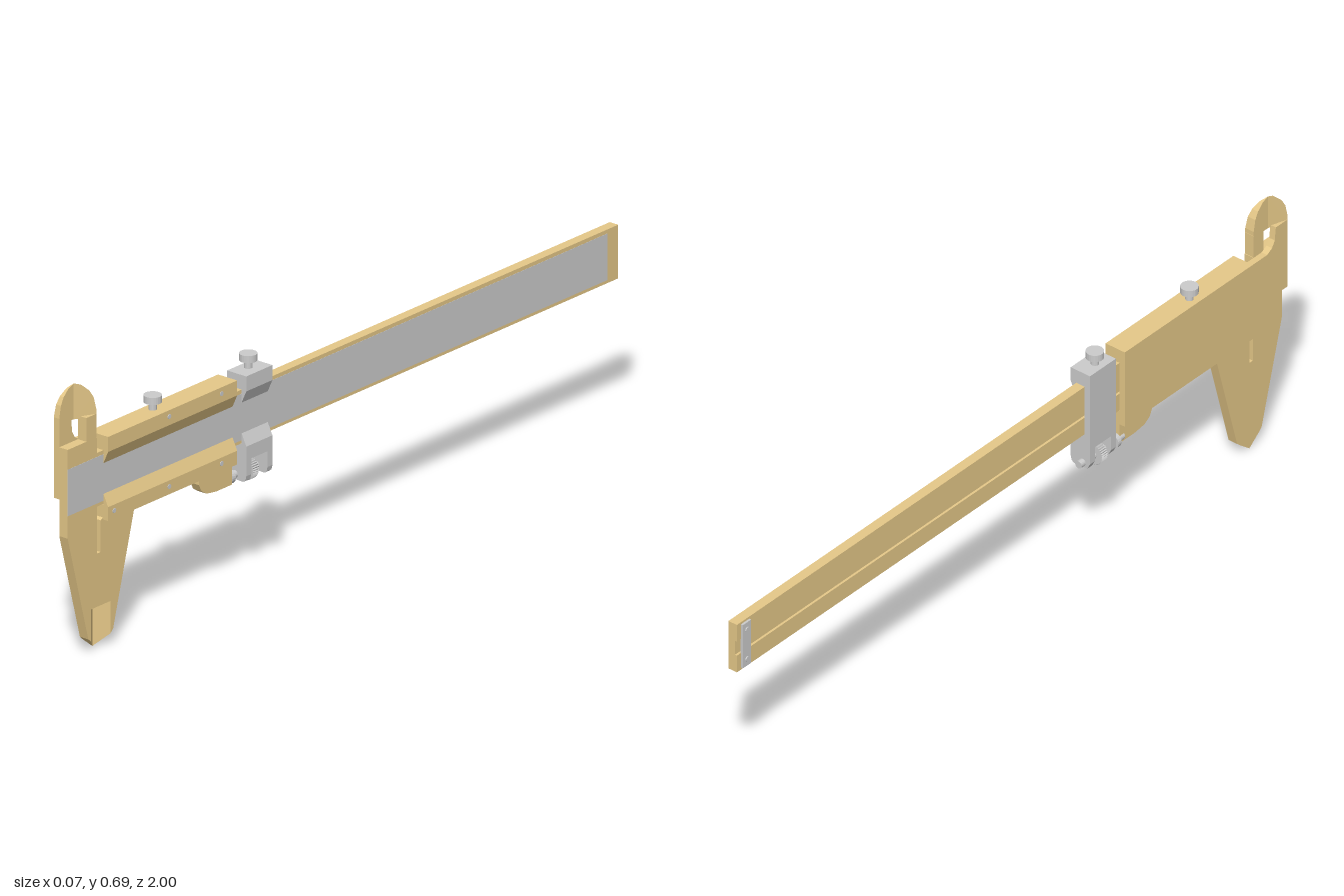
import * as THREE from 'three';
import { ConvexGeometry } from 'three/addons/geometries/ConvexGeometry.js';

const brass = new THREE.MeshStandardMaterial({ color: 0xe5c888, flatShading: true });
const steel = new THREE.MeshStandardMaterial({ color: 0xcccccc, flatShading: true });

// x planes: back of slider, back and front of beam, front of slider
const X0 = -0.028, X1 = -0.011, X2 = 0.015, X3 = 0.031;

const shapeOf = pts => new THREE.Shape(pts.map(p => new THREE.Vector2(...p)));

export function createModel() {
  const model = new THREE.Group();

  const add = (name, geometry, material = brass) => {
    const mesh = new THREE.Mesh(geometry, material);
    mesh.name = name;
    model.add(mesh);
    return mesh;
  };
  // Plate outlined in (z, y), filling xa..xb
  const plate = (name, pts, xa, xb, material) => {
    const g = new THREE.ExtrudeGeometry(shapeOf(pts), { depth: xb - xa, bevelEnabled: false });
    g.rotateY(-Math.PI / 2).translate(xb, 0, 0);
    return add(name, g, material);
  };
  // Bar with an (x, y) section, filling za..zb
  const bar = (name, pts, za, zb, material) => {
    const g = new THREE.ExtrudeGeometry(shapeOf(pts), { depth: zb - za, bevelEnabled: false });
    return add(name, g.translate(0, 0, za), material);
  };
  const box = (name, x0, x1, y0, y1, z0, z1, material) => {
    const g = new THREE.BoxGeometry(x1 - x0, y1 - y0, z1 - z0);
    return add(name, g.translate((x0 + x1) / 2, (y0 + y1) / 2, (z0 + z1) / 2), material);
  };
  const rod = (name, axis, r, length, x, y, z, sides = 24) => {
    const g = new THREE.CylinderGeometry(r, r, length, sides);
    if (axis === 'x') g.rotateZ(Math.PI / 2);
    if (axis === 'z') g.rotateX(Math.PI / 2);
    return add(name, g.translate(x, y, z), steel);
  };
  const hull = (name, pts) => add(name, new ConvexGeometry(pts.map(p => new THREE.Vector3(...p))));

  // Beam with a depth groove along its back, and the scale on its front
  bar('beam', [[X1, 0.364], [X2, 0.364], [X2, 0.5], [X1, 0.5],
    [X1, 0.452], [-0.005, 0.452], [-0.005, 0.412], [X1, 0.412]], -1, 1);
  box('scalePlate', X2 - 0.001, X2 + 0.0006, 0.372, 0.49, -0.96, 1, steel);
  box('endStop', -0.017, X1 + 0.001, 0.37, 0.494, -0.985, -0.955, steel);
  for (const y of [0.39, 0.474]) rod('endStopScrew', 'x', 0.007, 0.006, -0.017, y, -0.97, 12);

  // Fixed head with its lower jaw
  plate('fixedJaw', [[1, 0.54], [1, 0.315], [0.925, 0.037], [0.915, 0.028], [0.915, 0.11],
    [0.88, 0.11], [0.88, 0.245], [0.893, 0.245], [0.893, 0.54]], X1, X2);
  plate('fixedUpperStem', [[0.895, 0.53], [0.932, 0.53], [0.932, 0.6], [0.895, 0.6]], X1, X2);

  // Sliding lower jaw
  plate('slidingJaw', [[0.88, 0.325], [0.872, 0.33], [0.755, 0.33], [0.835, 0.037],
    [0.845, 0.028], [0.845, 0.11], [0.88, 0.11]], X1, X2);

  // Knife edges at the jaw tips, meeting in a V
  for (const s of [1, -1]) {
    const z = 0.88 + s * 0.035;
    hull('lowerKnifeEdge', [[X1, 0.11, z], [X2, 0.11, z], [X1, 0.11, 0.88],
      [X1, 0.028, z], [X2, 0.028, z], [X1, 0, 0.88]]);
  }
  // Rounded upper blades, thin at the centre line and thick outside
  const blade = (name, s, xOut) => {
    const pts = [[X1, 0.595, 0.949]];
    for (const [t, y] of [[0, 0.686], [0.018, 0.679], [0.036, 0.662], [0.046, 0.643], [0.052, 0.612], [0.052, 0.595]]) {
      const z = 0.948 + s * t;
      pts.push([X1, y, z], [X1 + (xOut - X1) * t / 0.052, y, z]);
    }
    hull(name, pts);
  };
  blade('slidingUpperBlade', 1, X0);
  blade('fixedUpperBlade', -1, X2);

  // Slider: channel round the beam, and a back plate reaching the upper jaw
  const channel = [[X0, 0.325], [X3, 0.325], [X3, 0.36], [0.0165, 0.39], [0.0165, 0.363], [X1, 0.363],
    [X1, 0.501], [0.0165, 0.501], [0.0165, 0.468], [X3, 0.5], [X3, 0.538], [X0, 0.538]];
  bar('slider', channel, 0.403, 0.872);
  plate('sliderBackPlate', [[0.86, 0.325], [0.885, 0.325], [0.895, 0.408], [1, 0.408], [1, 0.6],
    [0.957, 0.6], [0.953, 0.565], [0.943, 0.548], [0.925, 0.538], [0.86, 0.538]], X0, X1);
  for (const [y, zs] of [[0.345, [0.85, 0.65, 0.46]], [0.522, [0.65, 0.46]]])
    for (const z of zs) rod('rivet', 'x', 0.006, 0.003, X3, y, z, 12);
  plate('thumbRest', [[0.403, 0.33], [0.403, 0.27], [0.46, 0.27], [0.495, 0.275],
    [0.514, 0.287], [0.523, 0.305], [0.523, 0.33]], X1, X2);

  // Fine adjustment clamp with a fork for the wheel
  bar('clamp', channel, 0.275, 0.37, steel);
  const arm = [[X0, 0.33], [X0, 0.285], [-0.02, 0.27], [0.021, 0.268], [0.028, 0.273], [X3, 0.285], [X3, 0.33]];
  for (const z of [0.275, 0.352]) bar('clampArm', arm, z, z + 0.018, steel);

  // Adjusting screw, collar and toothed wheel
  rod('adjustingScrew', 'z', 0.01, 0.16, -0.005, 0.282, 0.34, 16);
  rod('screwCollar', 'z', 0.018, 0.012, -0.005, 0.282, 0.392, 20);
  const gear = [];
  for (let i = 0; i < 64; i++) {
    const r = i % 2 ? 0.0285 : 0.026, a = i / 32 * Math.PI;
    gear.push([-0.005 + r * Math.cos(a), 0.284 + r * Math.sin(a)]);
  }
  bar('adjustingWheel', gear, 0.314, 0.334, steel);

  // Locking screws on top
  for (const z of [0.67, 0.323]) {
    rod('lockScrewShaft', 'y', 0.01, 0.03, -0.003, 0.545, z, 16);
    rod('lockScrewHead', 'y', 0.022, 0.018, -0.003, 0.566, z);
  }
  return model;
}
